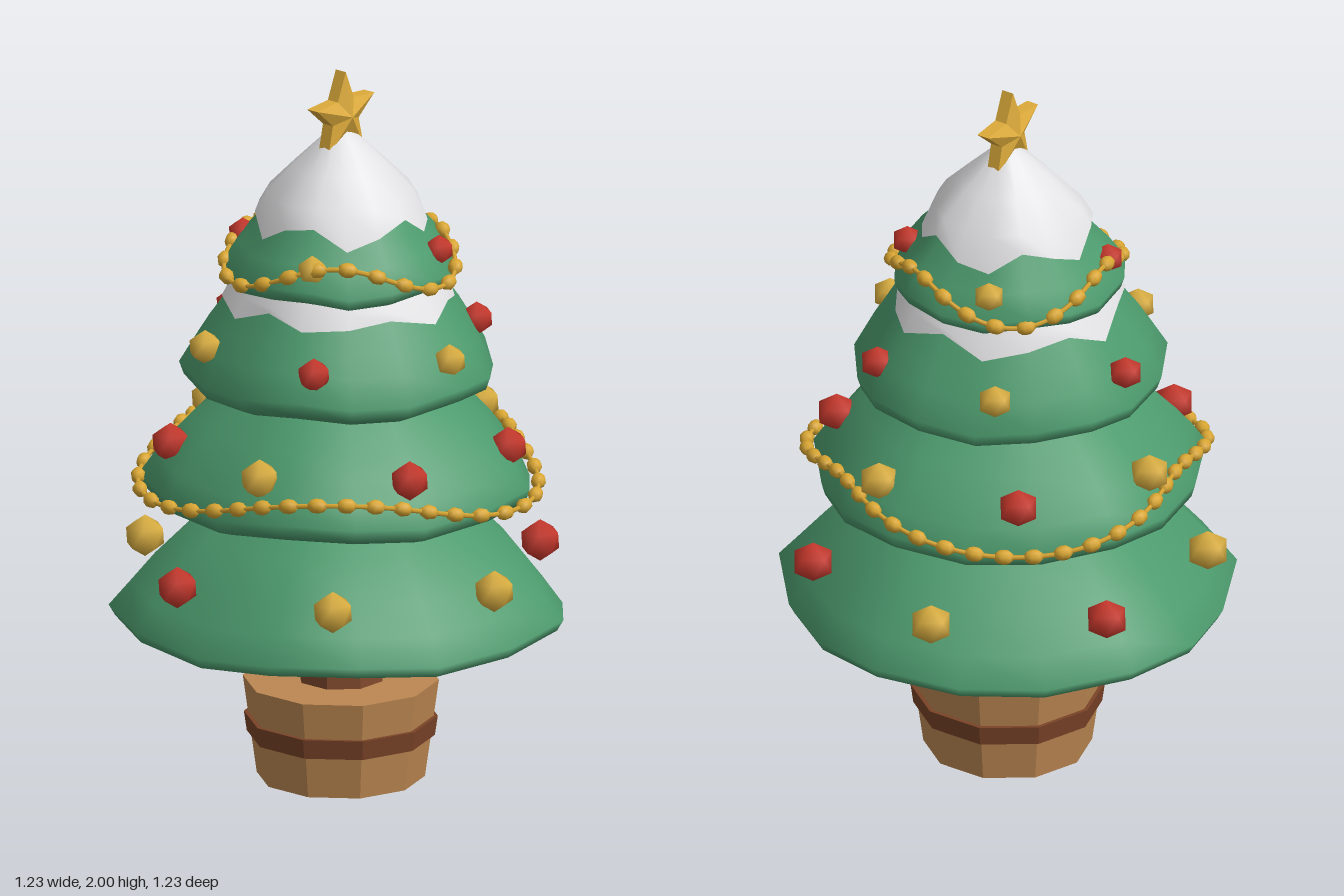
import * as THREE from 'three';
import { mergeVertices } from 'three/addons/utils/BufferGeometryUtils.js';

const SEGS = 16;
const TAU = Math.PI * 2;

function makeMaterial(name, color, options = {}) {
  const m = new THREE.MeshStandardMaterial({ color, ...options });
  m.name = name;
  return m;
}

// Surface lofted through closed rings, top to bottom; point(row, angle) gives [radius, y]
function loft(rows, point) {
  const pos = [], index = [];
  rows.forEach((row, i) => {
    for (let j = 0; j < SEGS; j++) {
      const a = (j / SEGS) * TAU;
      const [r, y] = point(row, a);
      pos.push(r * Math.cos(a), y, r * Math.sin(a));
      if (i === rows.length - 1) continue;
      const k = (j + 1) % SEGS, p = i * SEGS, q = p + SEGS;
      index.push(p + j, p + k, q + j, p + k, q + k, q + j);
    }
  });
  const g = new THREE.BufferGeometry();
  g.setAttribute('position', new THREE.Float32BufferAttribute(pos, 3));
  g.setIndex(index);
  g.computeVertexNormals();
  return g;
}

// Five soft lobes that grow towards the rim of a tier
function ripple(r, y, a, rim, phase) {
  const c = Math.cos(5 * a - phase), w = r / rim;
  return [r * (1 + 0.033 * w * c), y + 0.016 * w * w * c];
}

// Low-poly ball with a vertex at each pole and smooth normals
function ballGeometry() {
  let g = new THREE.IcosahedronGeometry(1, 0);
  g.rotateZ(-Math.atan(2 / (1 + Math.sqrt(5))));
  g.deleteAttribute('normal');
  g.deleteAttribute('uv');
  g = mergeVertices(g, 1e-3);
  g.computeVertexNormals();
  return g;
}

// Five-pointed star with a straight edge band and a raised centre on both sides
function starGeometry(outer, inner, edge, peak) {
  const pos = [];
  const rim = (i, z) => {
    const r = i % 2 ? inner : outer, a = Math.PI / 2 + (i * Math.PI) / 5;
    return [r * Math.cos(a), r * Math.sin(a), z];
  };
  for (let i = 0; i < 10; i++) {
    const a = rim(i, edge), b = rim(i + 1, edge), c = rim(i, -edge), d = rim(i + 1, -edge);
    pos.push(...a, ...b, 0, 0, peak, ...d, ...c, 0, 0, -peak);
    pos.push(...a, ...c, ...b, ...b, ...c, ...d);
  }
  const g = new THREE.BufferGeometry();
  g.setAttribute('position', new THREE.Float32BufferAttribute(pos, 3));
  g.computeVertexNormals();
  return g;
}

export function createModel() {
  const flat = { flatShading: true };
  const green = makeMaterial('needle green', 0x4c9a6d);
  const snow = makeMaterial('snow white', 0xe2e2e4, { side: THREE.DoubleSide });
  const red = makeMaterial('bauble red', 0xc8382c);
  const gold = makeMaterial('bauble gold', 0xdcb041);
  const beadGold = makeMaterial('garland gold', 0xd9a632);
  const starGold = makeMaterial('star gold', 0xdcaa3a, flat);
  const bark = makeMaterial('trunk brown', 0x80482c, flat);
  const wood = makeMaterial('pot wood', 0xbc8751, flat);
  const hoop = makeMaterial('band brown', 0x7a4328, flat);

  const model = new THREE.Group();
  model.name = 'decoratedTree';
  const tree = new THREE.Group();
  tree.name = 'tree';
  tree.position.x = -0.022;
  model.add(tree);

  function add(name, geometry, material, x = 0, y = 0, z = 0, parent = tree) {
    const m = new THREE.Mesh(geometry, material);
    m.name = name;
    m.position.set(x, y, z);
    parent.add(m);
    return m;
  }

  // Pot, band and trunk
  add('pot', new THREE.CylinderGeometry(0.267, 0.229, 0.275, 10), wood, 0, 0.1375, 0);
  add('potBand', new THREE.CylinderGeometry(0.264, 0.256, 0.055, 10), hoop, 0, 0.145, 0);
  const trunk = add('trunk', new THREE.CylinderGeometry(0.104, 0.122, 0.32, 8), bark, 0, 0.38, 0);
  trunk.rotation.y = Math.PI / 8;

  // Foliage tiers: domed profiles of [radius, y] from the top down to the underside
  const tiers = [
    { rim: 0.617, rows: [[0.22, 0.85], [0.285, 0.8], [0.4, 0.725], [0.495, 0.635], [0.56, 0.555],
      [0.617, 0.485], [0.6, 0.455], [0.54, 0.438], [0, 0.45]] },
    { rim: 0.53, rows: [[0.25, 1.15], [0.31, 1.1], [0.395, 1.03], [0.45, 0.97], [0.492, 0.915],
      [0.53, 0.855], [0.52, 0.82], [0.46, 0.797], [0, 0.805]] },
    { rim: 0.427, rows: [[0.26, 1.44], [0.305, 1.37], [0.35, 1.305], [0.385, 1.245], [0.427, 1.17],
      [0.415, 1.135], [0.36, 1.11], [0, 1.12]] },
    { rim: 0.318, rows: [[0, 1.825], [0.05, 1.795], [0.13, 1.71], [0.2, 1.63], [0.228, 1.575],
      [0.275, 1.52], [0.318, 1.455], [0.308, 1.425], [0.26, 1.405], [0, 1.412]] },
  ];
  tiers.forEach(({ rim, rows }, i) => {
    add(`foliageTier${i + 1}`, loft(rows, ([r, y], a) => ripple(r, y, a, rim, 0.6 * i)), green);
  });

  // Snow: the last row of each profile follows a jagged edge
  add('snowCap', loft([[0, 1.845], [0.05, 1.815], [0.13, 1.735], [0.2, 1.66], null], (row, a) => {
    const y = 1.59 - 0.027 * Math.cos(5 * a - 5.06);
    const [r, h] = row || [0.221 + (1.63 - y) * 0.35, y];
    return ripple(r, h, a, 0.318, 1.8);
  }), snow);
  add('snowCollar', loft([[0.268, 1.45], [0.298, 1.4], null], (row, a) => {
    const y = 1.362 + 0.022 * Math.cos(6 * a);
    const [r, h] = row || [0.318 + (1.36 - y) * 0.7, y];
    return ripple(r, h, a, 0.427, 1.2);
  }), snow);

  // Baubles in rings of alternating colours
  const ball = ballGeometry();
  const rings = [
    { count: 7, start: 90, radius: 0.55, y: 0.633, size: 0.059, colours: [gold, red] },
    { count: 7, start: 64.3, radius: 0.47, y: 0.97, size: 0.056, colours: [red, gold] },
    { count: 6, start: 90, radius: 0.39, y: 1.255, size: 0.048, colours: [gold, red] },
    { count: 4, start: 65.5, radius: 0.277, y: 1.515, size: 0.043, colours: [red, gold] },
  ];
  for (const { count, start, radius, y, size, colours } of rings) {
    for (let i = 0; i < count; i++) {
      const a = (start / 360 - i / count) * TAU;
      add('bauble', ball, colours[i % 2], radius * Math.cos(a), y, radius * Math.sin(a))
        .scale.setScalar(size);
    }
  }

  // Garlands: a wavy string threaded with oval beads
  const bead = new THREE.SphereGeometry(1, 7, 5);
  const along = new THREE.Vector3(1, 0, 0);
  function garland(name, radius, lobe, height, count) {
    const group = new THREE.Group();
    group.name = name;
    tree.add(group);
    const points = [];
    for (let i = 0; i < 48; i++) {
      const a = (i / 48) * TAU, wave = Math.cos(3 * a - 1.15);
      const r = radius + lobe * Math.cos(5 * a) - 0.017 * wave;
      points.push(new THREE.Vector3(r * Math.cos(a), height + 0.042 * wave, r * Math.sin(a)));
    }
    const curve = new THREE.CatmullRomCurve3(points, true);
    add('garlandString', new THREE.TubeGeometry(curve, 96, 0.007, 5, true), beadGold, 0, 0, 0, group);
    for (let i = 0; i < count; i++) {
      const p = curve.getPointAt(i / count);
      const m = add('garlandBead', bead, beadGold, p.x, p.y, p.z, group);
      m.quaternion.setFromUnitVectors(along, curve.getTangentAt(i / count));
      m.scale.set(0.029, 0.021, 0.021);
    }
  }
  garland('lowerGarland', 0.527, 0.022, 0.888, 42);
  garland('upperGarland', 0.307, 0.004, 1.485, 24);

  // Star on top
  add('star', starGeometry(0.124, 0.056, 0.018, 0.043), starGold, 0, 1.876, 0);

  return model;
}
